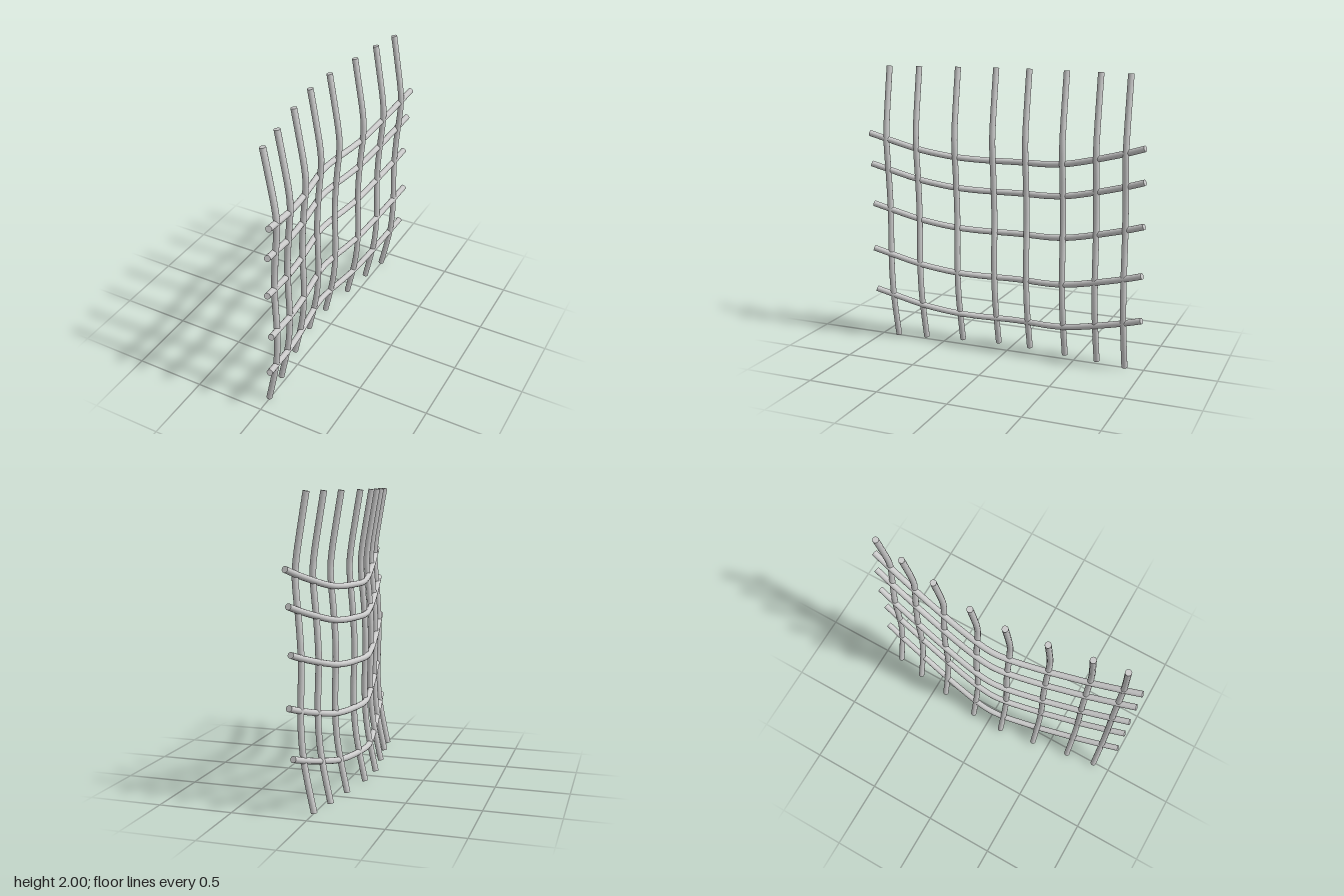
import * as THREE from 'three';
import { mergeGeometries } from 'three/addons/utils/BufferGeometryUtils.js';

const RADIUS = 0.021;
const SIDES = 14;

// Round bar swept along points, with a flat disc closing each end
function barGeometry(points) {
  const curve = new THREE.CatmullRomCurve3(points);
  const parts = [new THREE.TubeGeometry(curve, 48, RADIUS, SIDES, false)];
  for (const t of [0, 1]) {
    const out = curve.getTangent(t).multiplyScalar(t ? 1 : -1);
    const cap = new THREE.CircleGeometry(RADIUS, SIDES);
    cap.applyQuaternion(new THREE.Quaternion().setFromUnitVectors(new THREE.Vector3(0, 0, 1), out));
    const p = curve.getPoint(t);
    cap.translate(p.x, p.y, p.z);
    parts.push(cap);
  }
  return mergeGeometries(parts);
}

export function createModel() {
  const model = new THREE.Group();
  model.name = 'bentGrille';
  const material = new THREE.MeshStandardMaterial({ color: 0xcccccc });

  const addBar = (group, name, points) => {
    const mesh = new THREE.Mesh(barGeometry(points), material);
    mesh.name = name;
    group.add(mesh);
  };

  // Upright bars: one shared bend [y, x], shifted to each [z, x]
  const uprights = new THREE.Group();
  uprights.name = 'uprightBars';
  const bend = [[0.003, 0], [0.2, 0.042], [0.35, 0.068], [0.5, 0.081], [0.65, 0.084], [0.95, 0.077],
    [1.2, 0.09], [1.4, 0.108], [1.5, 0.112], [1.6, 0.103], [1.8, 0.071], [1.997, 0.037]];
  const places = [[0.875, -0.006], [0.66, -0.039], [0.385, -0.086], [0.115, -0.123],
    [-0.13, -0.117], [-0.41, -0.076], [-0.655, -0.042], [-0.865, -0.003]];
  places.forEach(([z, x0], i) => addBar(uprights, `uprightBar${i + 1}`,
    bend.map(([y, x]) => new THREE.Vector3(x0 + x, y, z))));

  // Cross bars: one shared sagging curve [z, x, y], shifted to each [y, x]
  const crossBars = new THREE.Group();
  crossBars.name = 'crossBars';
  const sag = [[0.995, 0.17, 0.168], [0.875, 0.147, 0.13], [0.66, 0.108, 0.066], [0.5, 0.079, 0.033],
    [0.385, 0.057, 0.016], [0.25, 0.032, 0.005], [0.115, 0.009, 0], [0, 0, 0], [-0.13, 0.012, 0.003],
    [-0.28, 0.038, 0.007], [-0.41, 0.063, 0.02], [-0.5, 0.079, 0.037], [-0.655, 0.107, 0.075],
    [-0.865, 0.145, 0.133], [-0.995, 0.17, 0.175]];
  const rows = [[1.362, -0.045], [1.14, -0.064], [0.847, -0.077], [0.518, -0.062], [0.203, -0.086]];
  rows.forEach(([y0, x0], i) => addBar(crossBars, `crossBar${i + 1}`,
    sag.map(([z, x, y]) => new THREE.Vector3(x0 + x, y0 + y, z))));

  model.add(uprights, crossBars);
  return model;
}
